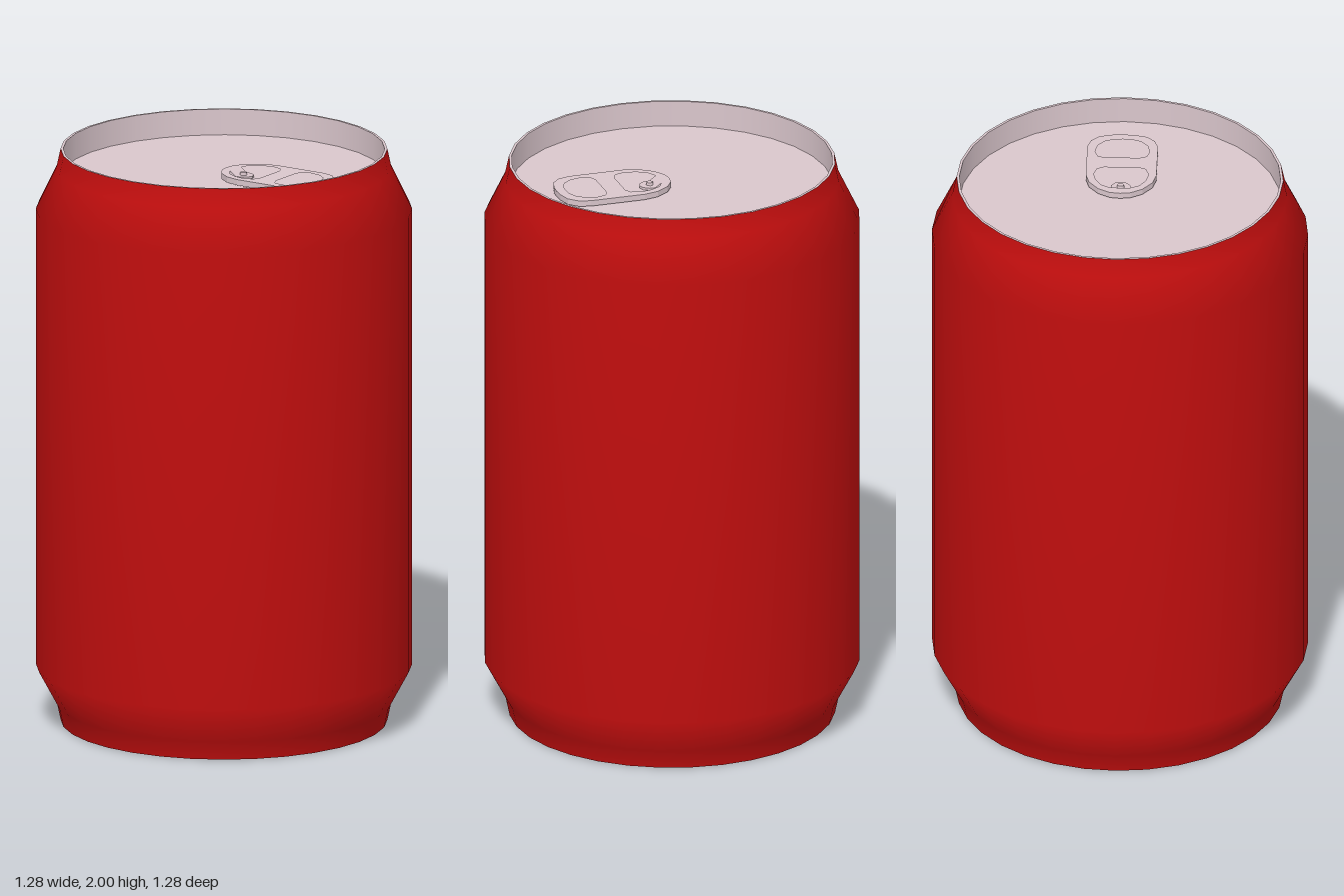
import * as THREE from 'three';

const SIDES = 32;
const LID_Y = 1.91;

export function createModel() {
  const can = new THREE.Group();
  can.name = 'drinkCan';
  const red = new THREE.MeshStandardMaterial({ name: 'red paint', color: 0xc00e0e });
  const metal = new THREE.MeshStandardMaterial({ name: 'bare metal', color: 0xdac6cc });

  const add = (name, geometry, material, parent = can) => {
    const mesh = new THREE.Mesh(geometry, material);
    mesh.name = name;
    parent.add(mesh);
    return mesh;
  };
  const vectors = (pairs) => pairs.map(([a, b]) => new THREE.Vector2(a, b));
  const turned = (name, profile, material) =>
    add(name, new THREE.LatheGeometry(vectors(profile), SIDES), material);

  // Painted shell with a tapered neck and foot
  turned('body', [[0.555, 0], [0.569, 0.065], [0.639, 0.195], [0.639, 1.79], [0.569, 1.935], [0.555, 2]], red);

  // Recessed lid: thin rim, upright wall, flat panel
  turned('topRim', [[0.555, 2], [0.546, 2]], metal);
  turned('topWall', [[0.546, 2], [0.546, LID_Y]], metal);
  turned('lid', [[0.546, LID_Y], [0, LID_Y]], metal);

  // Hollow base: domed inwards above a short wall
  turned('baseDome', [[0, 0.18], [0.14, 0.172], [0.28, 0.146], [0.42, 0.102], [0.546, 0.04]], metal);
  turned('baseWall', [[0.546, 0.04], [0.546, 0]], metal);
  turned('baseRim', [[0.546, 0], [0.555, 0]], metal);

  // Pull tab: half outlines are mirrored across the x axis
  const mirrored = (half) => vectors([
    ...half,
    ...half.filter(([, y]) => y > 0).reverse().map(([x, y]) => [x, -y]),
  ]);
  const slab = (shape, depth, y) => {
    const g = new THREE.ExtrudeGeometry(shape, { depth, bevelEnabled: false });
    return g.rotateX(-Math.PI / 2).translate(0, y, 0);
  };
  const tab = new THREE.Group();
  tab.name = 'pullTab';
  can.add(tab);

  const ring = new THREE.Shape(mirrored([
    [0.01, 0], [0.015, 0.035], [0.04, 0.075], [0.085, 0.108], [0.135, 0.12],
    [0.33, 0.12], [0.37, 0.108], [0.398, 0.08], [0.41, 0.035], [0.412, 0],
  ]));
  ring.holes.push(
    // Finger hole
    new THREE.Path(mirrored([
      [0.254, 0.06], [0.264, 0.083], [0.295, 0.093], [0.335, 0.085],
      [0.364, 0.062], [0.378, 0.03], [0.38, 0],
    ])),
    // Hole around the rivet tongue
    new THREE.Path(mirrored([
      [0.047, 0], [0.049, 0.035], [0.066, 0.065], [0.1, 0.085], [0.14, 0.093], [0.175, 0.083], [0.187, 0.06],
    ])),
  );
  add('tabRing', slab(ring, 0.02, LID_Y + 0.006), metal, tab);

  // Tongue bent down from the ring to the lid
  const tongue = new THREE.Shape(mirrored([
    [0.068, 0.034], [0.092, 0.033], [0.11, 0.02], [0.117, 0],
  ]));
  add('tongue', slab(tongue, 0.008, LID_Y + 0.002), metal, tab);
  const bend = new THREE.Shape(vectors([
    [0.045, 0.018], [0.068, 0.002], [0.07, 0.01], [0.047, 0.026],
  ]));
  const bendGeometry = new THREE.ExtrudeGeometry(bend, { depth: 0.068, bevelEnabled: false });
  add('tongueBend', bendGeometry.translate(0, LID_Y, -0.034), metal, tab);

  const rivet = add('rivet', new THREE.CylinderGeometry(0.011, 0.013, 0.012, 8), metal, tab);
  rivet.position.set(0.08, LID_Y + 0.014, 0);

  return can;
}
